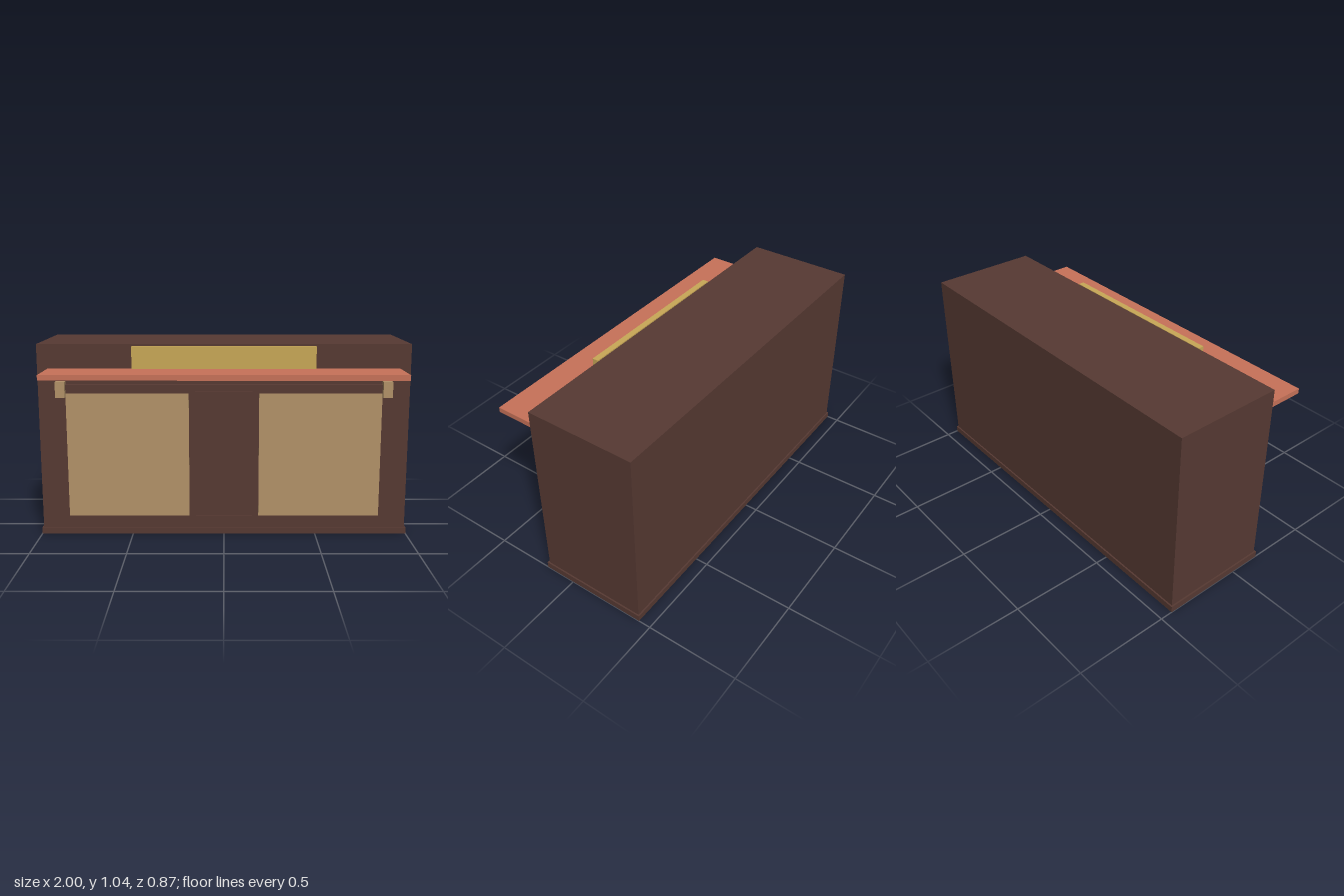
import * as THREE from 'three';

export function createModel() {
  const group = new THREE.Group();
  const mat = (name, color) => {
    const m = new THREE.MeshStandardMaterial({ color });
    m.name = name;
    return m;
  };
  const wood = mat('darkWood', 0x573a33);
  const tan = mat('tanPanel', 0xb39369);
  const coral = mat('coralShelf', 0xc87259);
  const gold = mat('goldSign', 0xc9a857);

  // Box given by its extents along each axis
  const box = (name, material, [x0, x1], [y0, y1], [z0, z1]) => {
    const mesh = new THREE.Mesh(new THREE.BoxGeometry(x1 - x0, y1 - y0, z1 - z0), material);
    mesh.position.set((x0 + x1) / 2, (y0 + y1) / 2, (z0 + z1) / 2);
    mesh.name = name;
    group.add(mesh);
  };

  // Cabinet and plinth
  box('plinth', wood, [-1, 1], [0, 0.035], [-0.433, 0.176]);
  box('cabinetBody', wood, [-0.992, 0.992], [0.035, 1.043], [-0.425, 0.167]);

  // Raised front board carrying the two panels
  box('frontBoard', wood, [-0.848, 0.848], [0.098, 0.83], [0.167, 0.195]);

  // Short rails between the panels
  box('lowerRail', wood, [-0.152, 0.152], [0.098, 0.112], [0.195, 0.203]);
  box('upperRail', wood, [-0.152, 0.152], [0.783, 0.797], [0.195, 0.203]);

  // Mirrored panels and the small blocks at their outer top corners
  for (const [side, s] of [['left', 1], ['right', -1]]) {
    const span = (a, b) => (s > 0 ? [a, b] : [-b, -a]);
    box(side + 'Panel', tan, span(0.187, 0.84), [0.112, 0.785], [0.195, 0.203]);
    box(side + 'Block', tan, span(0.841, 0.891), [0.765, 0.849], [0.182, 0.223]);
  }

  // Projecting shelf and the blank sign above it
  box('awningShelf', coral, [-0.935, 0.935], [0.886, 0.914], [0.167, 0.433]);
  box('signBoard', gold, [-0.485, 0.485], [0.917, 1.034], [0.182, 0.215]);

  return group;
}
